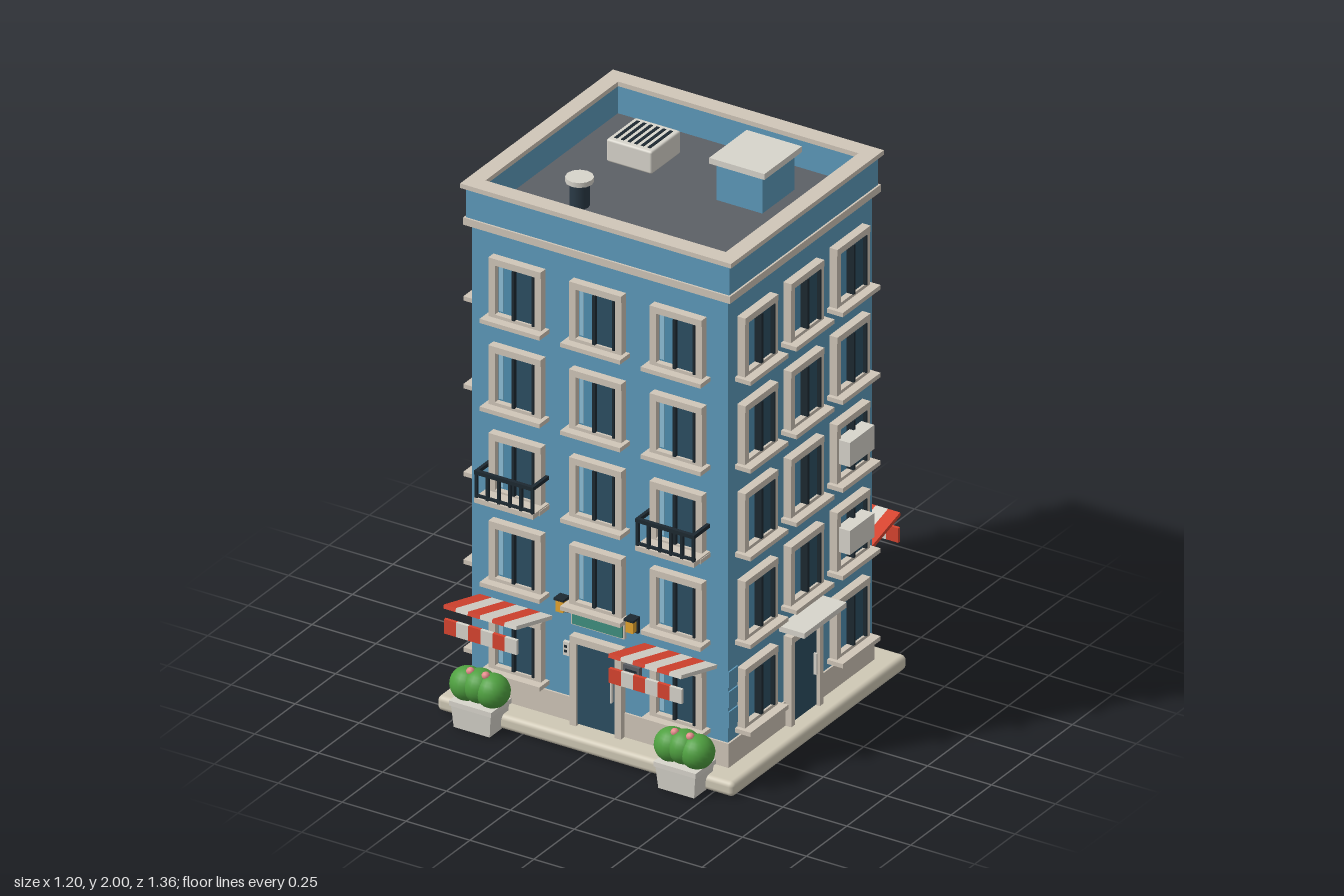
import * as THREE from 'three';
import { RoundedBoxGeometry } from 'three/addons/geometries/RoundedBoxGeometry.js';

const mat = (color, flatShading = false) => new THREE.MeshStandardMaterial({ color, flatShading });
const M = {
  wall: mat(0x5d9abb), trim: mat(0xd0c6b8), stone: mat(0xcfc8b5), pale: mat(0xd8d5cc), roof: mat(0x5c6066),
  glass: mat(0x4f8fb0), shine: mat(0x8fc0d8), dark: mat(0x2c4e62), iron: mat(0x1d2931), red: mat(0xd8442f),
  green: mat(0x4fa040), pink: mat(0xe58a8a), sign: mat(0x3f9080), amber: mat(0xe5a52e), pipe: mat(0x2a3a46),
};

function add(parent, name, geo, m, x = 0, y = 0, z = 0) {
  const mesh = new THREE.Mesh(geo, m);
  mesh.name = name;
  mesh.position.set(x, y, z);
  parent.add(mesh);
  return mesh;
}
// Box given by its limits on each axis
function box(parent, name, m, x0, x1, y0, y1, z0, z1) {
  return add(parent, name, new THREE.BoxGeometry(x1 - x0, y1 - y0, z1 - z0), m,
    (x0 + x1) / 2, (y0 + y1) / 2, (z0 + z1) / 2);
}
function sub(parent, name, x = 0, y = 0, z = 0) {
  const g = new THREE.Group();
  g.name = name;
  g.position.set(x, y, z);
  parent.add(g);
  return g;
}
// Rectangular ring lying flat, from y0 to y1
function ring(parent, name, m, w, d, iw, id, y0, y1) {
  const rect = (T, a, b) => new T([[-a, -b], [a, -b], [a, b], [-a, b]].map(p => new THREE.Vector2(...p)));
  const s = rect(THREE.Shape, w, d);
  s.holes.push(rect(THREE.Path, iw, id));
  const geo = new THREE.ExtrudeGeometry(s, { depth: y1 - y0, bevelEnabled: false }).rotateX(-Math.PI / 2);
  return add(parent, name, geo, m, 0, y0, 0);
}

// Window with frame, sliding panes and sill; origin at the sill's underside
function makeWindow(face, x, y) {
  const g = sub(face, 'window', x, y, 0);
  box(g, 'sill', M.trim, -0.117, 0.117, 0, 0.016, -0.01, 0.062);
  for (const s of [-1, 1]) box(g, 'frameSide', M.trim, s * 0.09 - 0.012, s * 0.09 + 0.012, 0.016, 0.215, -0.01, 0.03);
  box(g, 'frameTop', M.trim, -0.102, 0.102, 0.213, 0.237, -0.01, 0.032);
  box(g, 'frameBottom', M.trim, -0.08, 0.08, 0.016, 0.028, -0.01, 0.03);
  box(g, 'leftPane', M.glass, -0.08, 0.02, 0.028, 0.213, -0.01, 0.008);
  box(g, 'paneShine', M.shine, -0.074, -0.058, 0.034, 0.207, 0, 0.01);
  box(g, 'rightPane', M.dark, 0.0, 0.08, 0.028, 0.213, -0.01, 0.022);
  box(g, 'sash', M.iron, -0.008, 0.002, 0.028, 0.213, -0.01, 0.036);
  box(g, 'sash', M.iron, 0.07, 0.078, 0.028, 0.213, -0.01, 0.036);
}

function makeDoor(face) {
  const g = sub(face, 'door');
  for (const s of [-1, 1]) box(g, 'doorJamb', M.trim, s * 0.088 - 0.012, s * 0.088 + 0.012, 0.05, 0.365, -0.01, 0.03);
  box(g, 'doorLintel', M.trim, -0.1, 0.1, 0.365, 0.39, -0.01, 0.032);
  box(g, 'doorLeaf', M.dark, -0.077, 0.077, 0.06, 0.366, -0.01, 0.018);
  box(g, 'doorHandle', M.pale, 0.057, 0.063, 0.18, 0.26, 0.015, 0.03);
}

// Striped awning rising outward, with a hanging valance
function makeAwning(face, x) {
  const g = sub(face, 'awning', x);
  const w = 0.0475;
  const slope = sub(g, 'awningCloth', 0, 0.455, 0.122);
  slope.rotation.x = -0.266;
  for (let i = 0; i < 6; i++) {
    const x0 = (i - 3) * w, m = i % 2 ? M.pale : M.red;
    box(slope, 'awningStripe', m, x0, x0 + w, -0.007, 0.007, -0.115, 0.115);
    box(g, 'valanceStripe', m, x0, x0 + w, 0.383, 0.437, 0.219, 0.231);
  }
}

function makeBalcony(face, x) {
  const g = sub(face, 'balcony', x, 0.825, 0);
  box(g, 'balconyFloor', M.trim, -0.115, 0.115, 0, 0.018, -0.01, 0.1);
  box(g, 'topRail', M.iron, -0.115, 0.115, 0.106, 0.12, 0.086, 0.1);
  box(g, 'bottomRail', M.iron, -0.115, 0.115, 0.022, 0.03, 0.088, 0.098);
  for (const s of [-1, 1]) box(g, 'sideRail', M.iron, s * 0.109 - 0.006, s * 0.109 + 0.006, 0.106, 0.12, -0.01, 0.1);
  for (let i = 0; i < 6; i++) {
    const bx = -0.109 + i * 0.0436;
    box(g, 'baluster', M.iron, bx - 0.005, bx + 0.005, 0.018, 0.11, 0.088, 0.098);
  }
}

function makePlanter(root, x) {
  const g = sub(root, 'planter', x, 0, 0.555);
  const pot = new THREE.CylinderGeometry(Math.SQRT1_2, Math.SQRT1_2 * 0.9, 0.085, 4).rotateY(Math.PI / 4);
  add(g, 'planterPot', pot.toNonIndexed().scale(0.156, 1, 0.115), mat(0xd8d5cc, true), 0, 0.0425, 0);
  box(g, 'planterRim', M.pale, -0.083, 0.083, 0.082, 0.1, -0.062, 0.062);
  const ball = new THREE.SphereGeometry(0.06, 20, 14);
  for (const [bx, by] of [[-0.05, 0.147], [0, 0.152], [0.05, 0.147]]) add(g, 'bush', ball, M.green, bx, by, 0);
  for (const bx of [-0.03, 0.03]) add(g, 'flower', new THREE.SphereGeometry(0.015, 10, 8), M.pink, bx, 0.202, 0.012);
}

function makePipe(face, x) {
  const g = sub(face, 'downpipe', x, 0, 0.014);
  add(g, 'pipe', new THREE.CylinderGeometry(0.011, 0.011, 1.71, 10), M.pipe, 0, 0.925, 0);
  for (const y of [0.35, 0.8, 1.25, 1.7])
    add(g, 'pipeBracket', new THREE.CylinderGeometry(0.017, 0.017, 0.03, 10), M.pipe, 0, y, 0);
}

export function createModel() {
  const root = new THREE.Group();
  root.name = 'apartmentBuilding';

  // Ground slab, plinth, walls and roof edge
  add(root, 'groundSlab', new RoundedBoxGeometry(1.16, 0.055, 1.08, 3, 0.018), M.stone, 0, 0.0275, 0);
  box(root, 'plinth', M.trim, -0.507, 0.507, 0.05, 0.145, -0.452, 0.452);
  box(root, 'walls', M.wall, -0.5, 0.5, 0.05, 1.82, -0.445, 0.445);
  box(root, 'roofDeck', M.roof, -0.48, 0.48, 1.8, 1.84, -0.42, 0.42);
  ring(root, 'cornice', M.trim, 0.522, 0.467, 0.47, 0.41, 1.805, 1.832);
  ring(root, 'parapet', M.wall, 0.515, 0.46, 0.472, 0.412, 1.832, 1.945);
  ring(root, 'parapetCap', M.trim, 0.53, 0.473, 0.47, 0.41, 1.943, 1.96);

  // Four facades in local coordinates, x to the viewer's right and z outward
  const faces = [['front', 0.445, 0.315], ['leftSide', 0.5, 0.285], ['back', 0.445, 0.315], ['rightSide', 0.5, 0.285]]
    .map(([name, dist, gap], i) => {
      const a = i * Math.PI / 2;
      const f = sub(root, name + 'Facade', Math.sin(a) * dist, 0, Math.cos(a) * dist);
      f.rotation.y = a;
      for (let row = 0; row < 5; row++)
        for (const c of [-1, 0, 1])
          if (row || c) makeWindow(f, c * gap, 0.164 + row * 0.329);
      makeDoor(f);
      if (i % 2) box(f, 'doorCanopy', M.pale, -0.13, 0.13, 0.42, 0.44, -0.01, 0.1);
      else for (const s of [-1, 1]) makeAwning(f, s * 0.3225);
      return f;
    });
  const [front, left, back] = faces;

  // Front details: blank shop sign, lanterns, intercom, letterbox, balconies
  box(front, 'signFrame', M.trim, -0.104, 0.104, 0.424, 0.492, -0.01, 0.014);
  box(front, 'signBoard', M.sign, -0.098, 0.098, 0.43, 0.486, 0, 0.02);
  box(front, 'intercom', M.pale, -0.137, -0.113, 0.3, 0.35, -0.01, 0.014);
  for (const y of [0.317, 0.335]) box(front, 'intercomButton', M.iron, -0.13, -0.12, y - 0.004, y + 0.004, 0, 0.018);
  box(front, 'letterbox', M.roof, 0.103, 0.165, 0.28, 0.335, -0.01, 0.02);
  box(front, 'letterSlot', M.iron, 0.112, 0.156, 0.315, 0.322, 0, 0.023);
  for (const s of [-1, 1]) {
    const lamp = sub(front, 'lantern', s * 0.137, 0.49, 0);
    box(lamp, 'lampBack', M.iron, -0.019, 0.019, -0.03, 0.03, -0.01, 0.012);
    box(lamp, 'lampGlass', M.amber, -0.014, 0.014, -0.022, 0.022, 0.01, 0.036);
    box(lamp, 'lampCap', M.iron, -0.019, 0.019, 0.022, 0.03, 0.01, 0.042);
    makeBalcony(front, s * 0.315);
    makePlanter(root, s * 0.4);
    makePipe(back, s * 0.455);
  }

  // Air conditioners and corner stones on the left side
  for (const y of [0.955, 0.625]) {
    const ac = sub(left, 'airConditioner', 0.27, y, 0);
    box(ac, 'acCase', M.pale, -0.076, 0.076, -0.045, 0.045, 0.02, 0.073);
    box(ac, 'acMount', M.iron, -0.06, 0.06, -0.035, 0.035, -0.01, 0.03);
  }
  for (let i = 0; i < 3; i++) box(left, 'cornerStone', M.wall, -0.445, -0.39, 0.2 + i * 0.075, 0.26 + i * 0.075, -0.01, 0.005);

  // Stair house
  const house = sub(root, 'stairHouse', 0.218, 0, -0.172);
  box(house, 'houseWalls', M.wall, -0.09, 0.09, 1.84, 1.98, -0.1, 0.1);
  box(house, 'houseLid', M.pale, -0.108, 0.108, 1.978, 2.0, -0.116, 0.116);

  // Roof ventilation unit with slots
  const vent = sub(root, 'roofVent', -0.225, 0, -0.18);
  add(vent, 'ventCase', new RoundedBoxGeometry(0.178, 0.085, 0.182, 2, 0.008), M.pale, 0, 1.8925, 0);
  for (let i = 0; i < 6; i++) {
    const x = (i - 2.5) * 0.026;
    box(vent, 'ventSlot', M.iron, x - 0.006, x + 0.006, 1.92, 1.937, -0.07, 0.07);
  }

  // Flue pipe
  const flue = sub(root, 'flue', -0.235, 0, 0.2);
  add(flue, 'flueStem', new THREE.CylinderGeometry(0.034, 0.034, 0.09, 12), M.pipe, 0, 1.885, 0);
  add(flue, 'flueCap', new THREE.CylinderGeometry(0.048, 0.048, 0.018, 12), M.pale, 0, 1.938, 0);

  return root;
}
